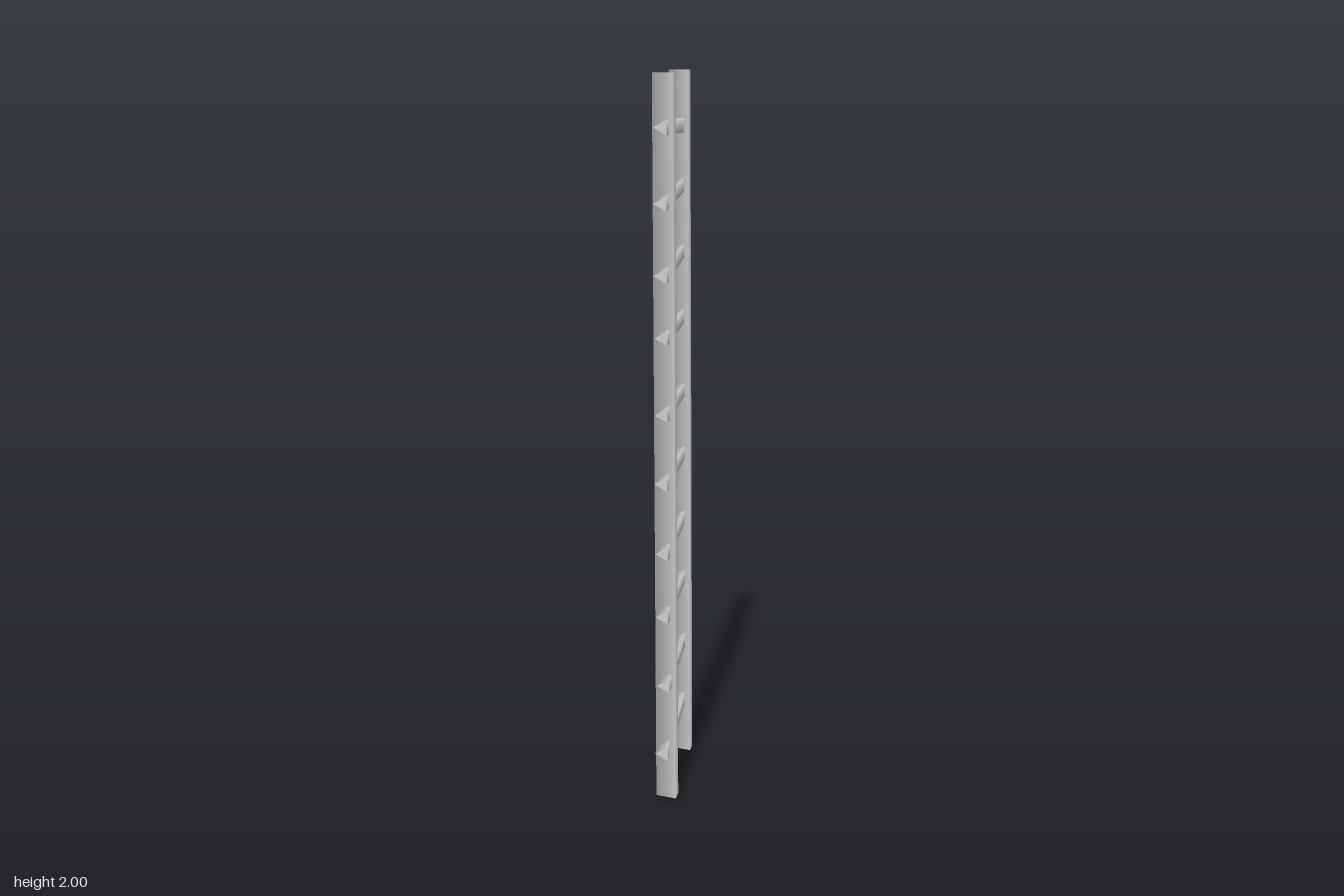
import * as THREE from 'three';

const material = new THREE.MeshStandardMaterial({ color: 0xcccccc });

// Three-sided pole with one edge towards -x, along y from 0 to length
function triPole(radius, length) {
  const g = new THREE.CylinderGeometry(radius, radius, length, 3, 1, false, -Math.PI / 2);
  return g.translate(0, length / 2, 0);
}

// Move every vertex by a rule
function moveVertices(g, rule) {
  const p = g.attributes.position;
  const v = new THREE.Vector3();
  for (let i = 0; i < p.count; i++) {
    rule(v.fromBufferAttribute(p, i));
    p.setXYZ(i, v.x, v.y, v.z);
  }
  return g;
}

// Upright rail: leans slightly in x, foot cut at a slant
function rail(z) {
  const g = moveVertices(triPole(0.0387, 2), (v) => {
    const foot = v.y < 1;
    v.x += foot ? 0.013 : 0.004;
    if (foot) v.y = 0.005 + v.z * 0.15;
    v.z += z;
  });
  return new THREE.Mesh(g, material);
}

// Rung: runs along z, its height and x drifting from back to front
function rung(backY, frontY, backX, frontX) {
  const half = 0.265;
  const g = triPole(0.023, half * 2).rotateX(Math.PI / 2).translate(0, 0, -half);
  moveVertices(g, (v) => {
    const t = v.z / (half * 2) + 0.5;
    v.z += v.x * (v.z > 0 ? -0.1 : 0.05);
    v.x += THREE.MathUtils.lerp(backX, frontX, t);
    v.y += THREE.MathUtils.lerp(backY, frontY, t);
  });
  return new THREE.Mesh(g, material);
}

export function createModel() {
  const ladder = new THREE.Group();
  ladder.name = 'ladder';

  const rails = { frontRail: 0.192, backRail: -0.196 };
  for (const [name, z] of Object.entries(rails)) {
    const m = rail(z);
    m.name = name;
    ladder.add(m);
  }

  // back height, front height, back x, front x
  const rungs = [
    [0.17, 0.155, 0.003, 0.003], [0.35, 0.35, 0.004, 0.008],
    [0.54, 0.545, 0.003, 0.004], [0.72, 0.722, 0.003, 0.004],
    [0.91, 0.915, 0.002, 0.002], [1.095, 1.103, 0.002, 0.003],
    [1.31, 1.31, 0.001, 0.003], [1.5, 1.475, 0, 0.001],
    [1.685, 1.665, 0, 0], [1.845, 1.862, 0.001, 0],
  ];
  rungs.forEach((r, i) => {
    const m = rung(...r);
    m.name = `rung${i + 1}`;
    ladder.add(m);
  });
  return ladder;
}
